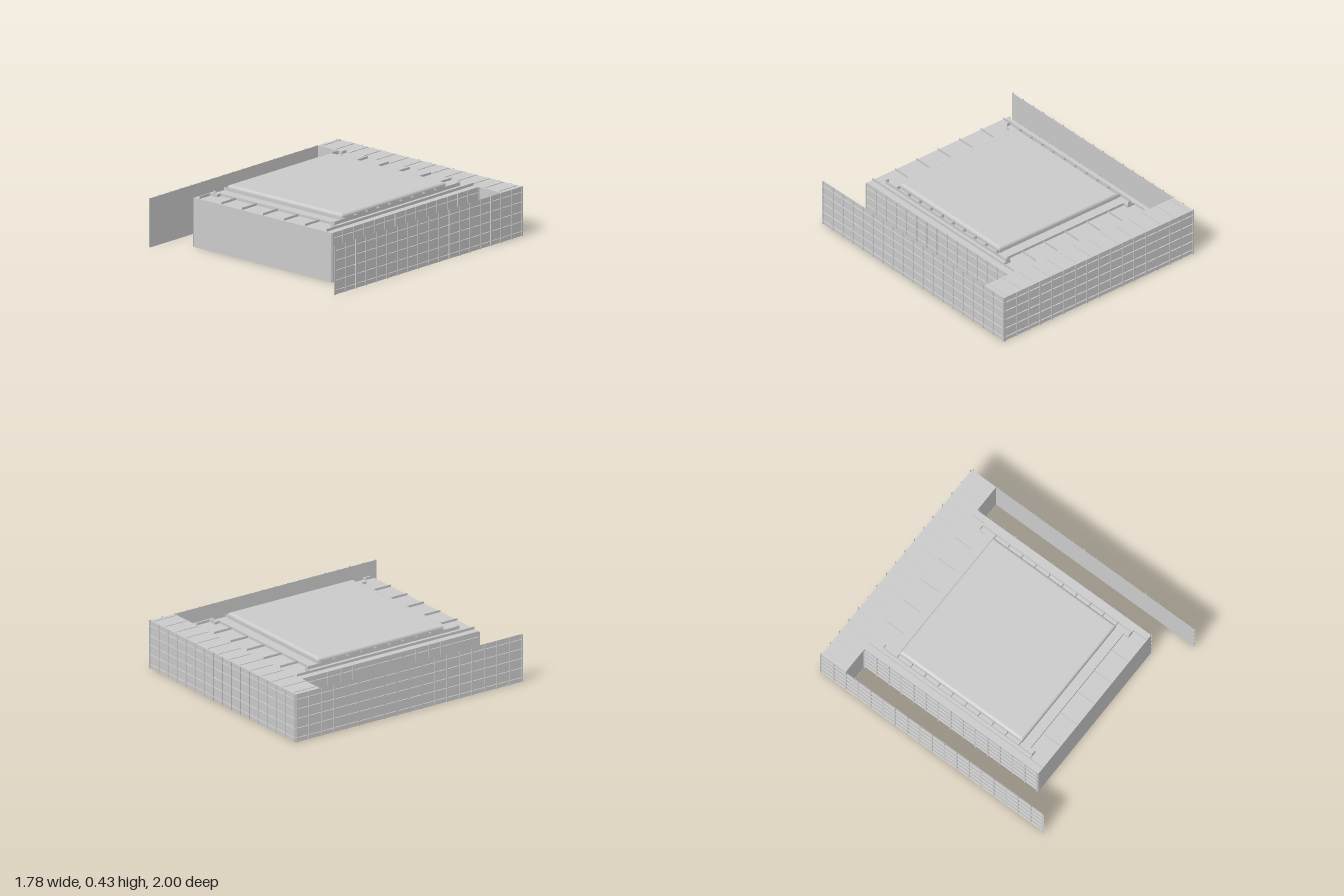
import * as THREE from 'three';

const H = 0.365; // deck height
const C = 0.385; // hatch platform height
const mat = new THREE.MeshStandardMaterial({ color: 0xcccccc, side: THREE.DoubleSide, flatShading: true });

function part(parent, name, geometry) {
  const mesh = new THREE.Mesh(geometry, mat);
  mesh.name = name;
  parent.add(mesh);
  return mesh;
}

// thin sheets standing across x, across z, or lying flat at height y
function plateX(parent, name, x, y0, y1, z0, z1) {
  const m = part(parent, name, new THREE.PlaneGeometry(z1 - z0, y1 - y0));
  m.rotation.y = Math.PI / 2;
  m.position.set(x, (y0 + y1) / 2, (z0 + z1) / 2);
}

function plateZ(parent, name, z, x0, x1, y0, y1) {
  const m = part(parent, name, new THREE.PlaneGeometry(x1 - x0, y1 - y0));
  m.position.set((x0 + x1) / 2, (y0 + y1) / 2, z);
}

function plateY(parent, name, y, x0, x1, z0, z1) {
  const m = part(parent, name, new THREE.PlaneGeometry(x1 - x0, z1 - z0));
  m.rotation.x = -Math.PI / 2;
  m.position.set((x0 + x1) / 2, y, (z0 + z1) / 2);
}

function rect(path, x0, x1, y0, y1) {
  path.moveTo(x0, y0).lineTo(x1, y0).lineTo(x1, y1).lineTo(x0, y1).closePath();
  return path;
}

// flat sheet cut from a shape, with an opening for the hatch
function hatchSheet(parent, name, shape, y) {
  shape.holes.push(rect(new THREE.Path(), -0.54, 0.54, -0.54, 0.54));
  const m = part(parent, name, new THREE.ShapeGeometry(shape));
  m.rotation.x = -Math.PI / 2;
  m.position.y = y;
}

function group(parent, name) {
  const g = new THREE.Group();
  g.name = name;
  parent.add(g);
  return g;
}

// upright plate along x with T-frames and stringers on its +z face
function stiffenedPanel(parent, name, length, pitch) {
  const g = group(parent, name);
  const h = length / 2;
  plateZ(g, 'plating', 0, -h, h, 0, H);
  const n = Math.round(length / pitch);
  for (let i = 0; i <= n; i++) {
    const x = -h + 0.005 + (i / n) * (length - 0.01);
    plateX(g, 'frameWeb', x, 0, H, 0, 0.01);
    plateZ(g, 'frameFlange', 0.01, x - 0.005, x + 0.005, 0, H);
  }
  for (let i = 0; i < 5; i++) plateY(g, 'stringer', 0.035 + i * 0.073, -h, h, 0, 0.009);
  return g;
}

// upright web plate with a row of rounded openings
function webPlate(parent, name, length, count, round) {
  const s = rect(new THREE.Shape(), -length / 2, length / 2, 0.01, H - 0.01);
  const pitch = length / count;
  for (let i = 0; i < count; i++) {
    const x = (i - (count - 1) / 2) * pitch;
    const hole = new THREE.Path();
    if (round && i === (count - 1) / 2) {
      hole.absarc(x, 0.18, 0.085, 0, Math.PI * 2, true);
    } else {
      const r = pitch * 0.22;
      hole.absarc(x, 0.25, r, 0, Math.PI, false);
      hole.absarc(x, 0.12, r, Math.PI, Math.PI * 2, false);
      hole.closePath();
    }
    s.holes.push(hole);
  }
  return part(parent, name, new THREE.ShapeGeometry(s, 10));
}

export function createModel() {
  const model = new THREE.Group();
  model.name = 'cargoHoldSection';

  // outer side shells
  for (const s of [-1, 1]) {
    const shell = stiffenedPanel(model, 'sideShell', 1.99, 1 / 9);
    shell.rotation.y = s * Math.PI / 2;
    shell.position.set(s * 0.881, 0, 0.005);
  }

  // closed box across the back
  const back = group(model, 'backBox');
  const backShell = stiffenedPanel(back, 'backShell', 1.762, 0.11);
  backShell.rotation.y = Math.PI;
  backShell.position.z = -0.99;
  plateY(back, 'backDeck', H, -0.881, 0.881, -0.99, -0.775);
  plateY(back, 'backBottom', 0.001, -0.881, 0.881, -0.99, -0.775);
  plateZ(back, 'backBulkhead', -0.776, -0.881, 0.881, 0, H);
  for (let i = 0; i < 14; i++)
    plateX(back, 'deckRib', -0.845 + i * 0.13, H, H + 0.004, -0.98, -0.785);

  // hold walls, open underneath
  const hold = group(model, 'hold');
  plateZ(hold, 'frontWall', 0.78, -0.66, 0.66, 0, H);
  webPlate(hold, 'frontWeb', 1.3, 7, true).position.z = 0.772;
  for (const x of [-0.33, 0, 0.33])
    plateX(hold, 'frontFrame', x, 0.28, H, 0.7, 0.78);
  for (const s of [-1, 1]) {
    const wall = stiffenedPanel(hold, 'sideWall', 1.555, 1 / 9);
    wall.rotation.y = s * Math.PI / 2;
    wall.position.set(s * 0.66, 0, 0.0025);
    const web = webPlate(hold, 'sideWeb', 1.53, 14, false);
    web.rotation.y = Math.PI / 2;
    web.position.x = s * 0.652;
  }

  // deck with hatch opening
  hatchSheet(hold, 'deck', rect(new THREE.Shape(), -0.66, 0.66, -0.78, 0.78), H);

  // ribs above and deep beams below the end decks, fins along the sides
  for (const s of [-1, 1]) {
    for (const x of [-0.4, -0.2, 0, 0.2, 0.4]) {
      plateX(hold, 'endDeckRib', x, H, 0.382, s * 0.7 - 0.078, s * 0.7 + 0.078);
      plateX(hold, 'endDeckBeam', x, 0.32, H, s * 0.665 - 0.11, s * 0.665 + 0.11);
    }
    plateX(hold, 'deckEdgeFin', s * 0.608, H, C, -0.78, 0.78);
  }

  // notched platform around the hatch
  const hatch = group(model, 'hatch');
  const outline = new THREE.Shape();
  const corner = [[0.608, 0.665], [0.545, 0.665], [0.545, 0.622]];
  const flip = (sx, sy) => corner.map(([x, y]) => new THREE.Vector2(x * sx, y * sy));
  outline.setFromPoints([
    ...flip(1, 1), ...flip(-1, 1).reverse(), ...flip(-1, -1), ...flip(1, -1).reverse(),
  ]);
  hatchSheet(hatch, 'platform', outline, C);

  // coaming walls with upright brackets
  for (const s of [-1, 1]) {
    plateX(hatch, 'sideCoaming', s * 0.584, H, 0.41, -0.665, 0.665);
    plateZ(hatch, 'endCoaming', s * 0.622, -0.545, 0.545, H, C);
    for (let i = 0; i < 12; i++) {
      const z = -0.665 + i * 1.33 / 11;
      plateZ(hatch, 'coamingBracket', z, s * 0.567 - 0.017, s * 0.567 + 0.017, H, 0.41);
    }
    for (const t of [-1, 1]) {
      plateX(hatch, 'cornerReturn', t * 0.545, H, C, s * 0.6435 - 0.0215, s * 0.6435 + 0.0215);
      plateZ(hatch, 'cornerEnd', s * 0.665, t * 0.5765 - 0.0315, t * 0.5765 + 0.0315, H, C);
    }
  }

  // hatch cover with rounded shoulders
  const a = 0.528;
  const lid = new THREE.ExtrudeGeometry(rect(new THREE.Shape(), -a, a, -a, a), {
    depth: 0.001, bevelEnabled: true, bevelThickness: 0.022, bevelSize: 0.022, bevelSegments: 4,
  });
  // keep the lower half of the rim straight
  const p = lid.attributes.position;
  for (let i = 0; i < p.count; i++) {
    if (p.getZ(i) < 0.0005) {
      const k = (a + 0.022) / Math.max(Math.abs(p.getX(i)), Math.abs(p.getY(i)));
      p.setXYZ(i, p.getX(i) * k, p.getY(i) * k, p.getZ(i));
    }
  }
  lid.computeVertexNormals();
  const cover = part(hatch, 'hatchCover', lid);
  cover.rotation.x = -Math.PI / 2;
  cover.position.y = 0.409;

  // grid of beams under the cover
  for (let i = -3; i <= 3; i++) {
    const c = i * 0.157;
    plateX(hatch, 'coverBeam', c, 0.377, 0.387, -0.54, 0.54);
    plateZ(hatch, 'coverBeam', c, -0.54, 0.54, 0.377, 0.387);
  }
  return model;
}
